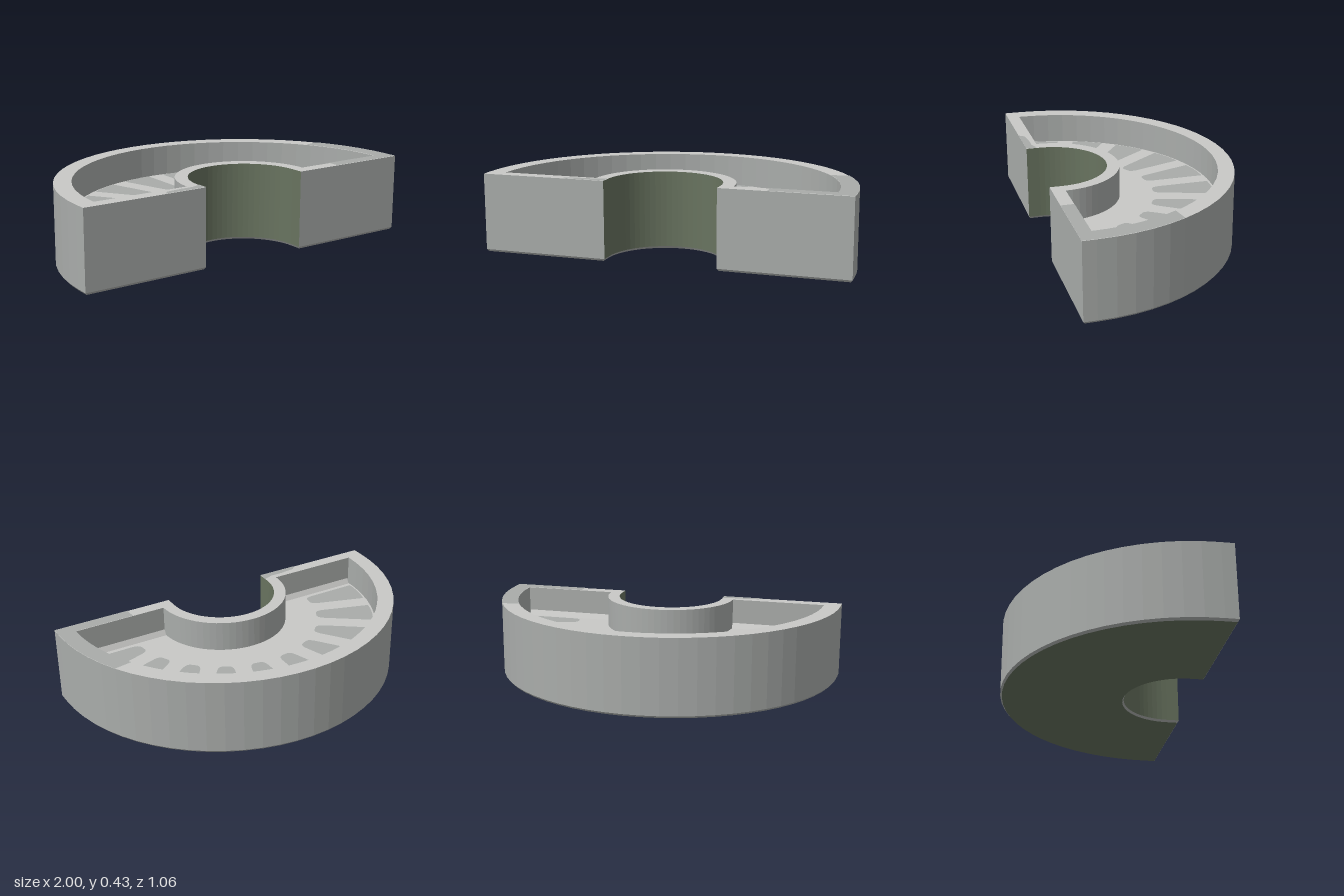
import * as THREE from 'three';

const H = 0.43, FLOOR = 0.26, C = -0.46; // rim height, basin floor, arc centre (plan coordinates: x, -z)

const mat = (name, color, side = THREE.FrontSide) => {
  const m = new THREE.MeshStandardMaterial({ color, side });
  m.name = name;
  return m;
};

// Arc around the common centre, from angle a to b in degrees
function arc(r, a, b, n, squash = 1) {
  return Array.from({ length: n + 1 }, (_, i) => {
    const t = THREE.MathUtils.degToRad(a + ((b - a) * i) / n);
    return new THREE.Vector2(r * Math.cos(t), C + r * squash * Math.sin(t));
  });
}

// Counter-clockwise outline of the half ring, with short straight ends
function outline(outer, hole, front) {
  const v = (x) => new THREE.Vector2(x, front);
  return [v(outer), ...arc(outer, 0, 180, 32, 0.993), v(-outer), v(-hole), ...arc(hole, 180, 0, 32), v(hole)];
}

// Vertical or sloping band between two matching paths
function band(low, y0, high, y1) {
  const pos = [];
  for (let i = 0; i < low.length - 1; i++) {
    const a = [low[i].x, y0, -low[i].y], b = [low[i + 1].x, y0, -low[i + 1].y];
    const c = [high[i + 1].x, y1, -high[i + 1].y], d = [high[i].x, y1, -high[i].y];
    pos.push(...a, ...b, ...c, ...a, ...c, ...d);
  }
  const g = new THREE.BufferGeometry();
  g.setAttribute('position', new THREE.Float32BufferAttribute(pos, 3));
  g.computeVertexNormals();
  return g;
}

// Horizontal sheet facing up, or down when flipped
function sheet(shape, y, down = false) {
  const g = new THREE.ShapeGeometry(shape, 6);
  g.rotateX(-Math.PI / 2);
  if (down) {
    g.index.array.reverse();
    g.computeVertexNormals();
  }
  return g.translate(0, y, 0);
}

// Tapered floor panel with rounded inner corners, pointing along +y
function panelShape() {
  const s = new THREE.Shape();
  s.moveTo(-0.093, 0.885);
  s.lineTo(-0.050, 0.61);
  s.quadraticCurveTo(-0.043, 0.56, -0.015, 0.56);
  s.lineTo(0.015, 0.56);
  s.quadraticCurveTo(0.043, 0.56, 0.050, 0.61);
  s.lineTo(0.093, 0.885);
  s.quadraticCurveTo(0, 0.902, -0.093, 0.885);
  return s;
}

export function createModel() {
  const group = new THREE.Group();
  const wallGrey = mat('wall grey', 0xa9acaa);
  const lightGrey = mat('light grey', 0xc9c9c7);
  const olive = mat('olive', 0x68735f);
  const add = (name, geometry, material) => {
    const m = new THREE.Mesh(geometry, material);
    m.name = name;
    group.add(m);
    return m;
  };

  const full = outline(1, 0.307, -0.53);
  const foot = outline(0.99, 0.315, -0.522);
  const holeStart = 35; // index of the first hole point
  const holeEnd = full.length - 1;

  // Outer curved wall with left and right end faces, and the central recess
  const outerPath = full.slice(0, holeStart + 1);
  add('outerWall', band(outerPath, 0.012, outerPath, H), wallGrey);
  const endPath = [full[holeEnd], full[0]];
  add('endFace', band(endPath, 0.012, endPath, H), wallGrey);
  const recess = full.slice(holeStart, holeEnd + 1);
  add('recessWall', band(recess, 0.012, recess, H), olive);

  // Narrow bottom bevel and underside
  add('bottomBevel', band([...foot, foot[0]], 0, [...full, full[0]], 0.012), wallGrey);
  add('underside', sheet(new THREE.Shape(foot), 0, true), olive);

  // Basin: floor, inner walls and the top rim around it
  const basin = [...arc(0.905, 0, 180, 32), ...arc(0.375, 180, 0, 32)];
  add('basinFloor', sheet(new THREE.Shape(basin), FLOOR), lightGrey);
  const inward = [...basin, basin[0]].reverse();
  add('basinWall', band(inward, FLOOR, inward, H), wallGrey);
  const rim = new THREE.Shape(full);
  rim.holes.push(new THREE.Path(basin));
  add('rim', sheet(rim, H), lightGrey);

  // Sloping strips at the foot of the two straight basin walls
  for (const s of [-1, 1]) {
    const x = s < 0 ? [-0.375, -0.9] : [0.9, s * 0.375];
    const lo = x.map((v) => new THREE.Vector2(v, C + 0.018));
    const hi = x.map((v) => new THREE.Vector2(v, C));
    add('footStrip', band(lo, FLOOR, hi, FLOOR + 0.03), lightGrey);
  }

  // Ten radial floor panels
  for (let i = 0; i < 10; i++) {
    const g = panelShape();
    const geo = new THREE.ShapeGeometry(g, 6);
    geo.rotateZ(THREE.MathUtils.degToRad(81 - i * 18));
    geo.translate(0, C, 0).rotateX(-Math.PI / 2).translate(0, FLOOR + 0.003, 0);
    add('floorPanel', geo, wallGrey);
  }

  // Darker painted areas on the rim
  const v = (x, y) => new THREE.Vector2(x, y);
  const leftPatch = [v(0.565, -0.53), v(1, -0.53), ...arc(1, 0, 28.125, 5, 0.993),
    ...arc(0.905, 30, 0, 6), v(0.565, C)];
  add('leftRimPatch', sheet(new THREE.Shape(leftPatch), H + 0.002), wallGrey);
  const rightPatch = [v(-0.545, -0.53), v(-0.307, -0.53), v(-0.307, C - 0.01), v(-0.36, C - 0.03),
    v(-0.43, C - 0.03), v(-0.52, C - 0.04)];
  add('rightRimPatch', sheet(new THREE.Shape(rightPatch), H + 0.002), wallGrey);

  return group;
}
